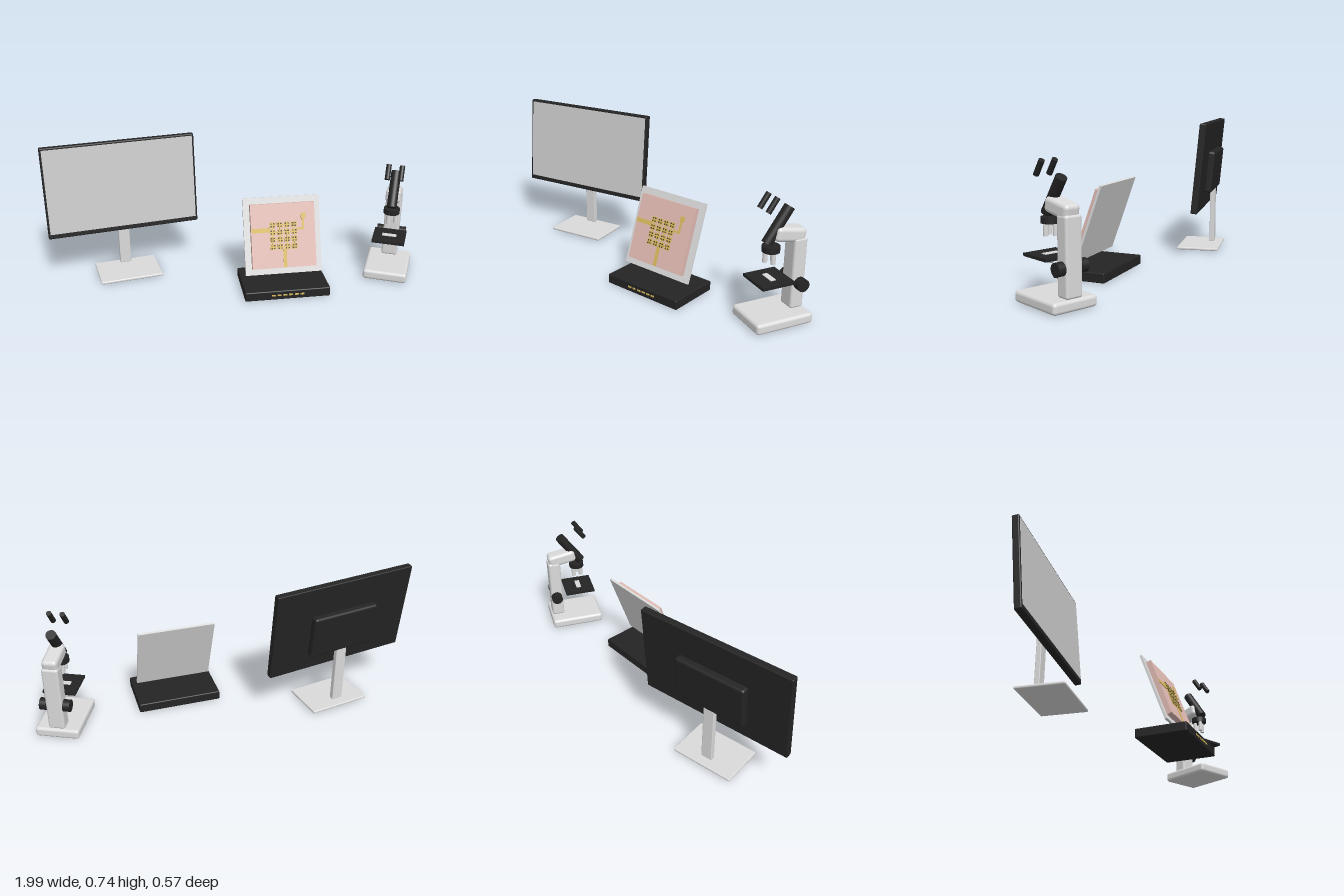
import * as THREE from 'three';
import { RoundedBoxGeometry } from 'three/addons/geometries/RoundedBoxGeometry.js';

const mat = (name, color, side = THREE.FrontSide) => {
  const m = new THREE.MeshStandardMaterial({ color, side });
  m.name = name;
  return m;
};

export function createModel() {
  const white = mat('light enamel', 0xdadada);
  const screenGrey = mat('screen grey', 0xcdcdcd);
  const black = mat('black plastic', 0x242424);
  const pink = mat('pink substrate', 0xdfb9b1);
  const gold = mat('gold', 0xd8b95c);
  const dot = mat('dark contact', 0x4a4028);

  const add = (parent, name, geo, material, x = 0, y = 0, z = 0, rx = 0) => {
    const m = new THREE.Mesh(geo, material);
    m.name = name;
    m.position.set(x, y, z);
    m.rotation.x = rx;
    parent.add(m);
    return m;
  };
  const group = (parent, name, x, y, z, ry = 0, rx = 0) => {
    const g = new THREE.Group();
    g.name = name;
    g.position.set(x, y, z);
    g.rotation.set(rx, ry, 0, 'YXZ');
    parent.add(g);
    return g;
  };
  const box = (w, h, d) => new THREE.BoxGeometry(w, h, d);
  const round = (w, h, d, r) => new RoundedBoxGeometry(w, h, d, 4, r);
  const cyl = (r, h, r2 = r) => new THREE.CylinderGeometry(r, r2, h, 32);

  const model = new THREE.Group();
  model.name = 'laboratory set';

  // Monitor: tilted panel with a rear housing, on a post and foot
  const yaw = 0.17;
  const monitor = group(model, 'monitor', -0.595, 0.495, -0.178, yaw, -0.095);
  add(monitor, 'monitorCase', round(0.804, 0.488, 0.036, 0.006), black);
  add(monitor, 'screen', box(0.784, 0.452, 0.004), screenGrey, 0, 0.007, 0.0175);
  add(monitor, 'rearHousing', round(0.38, 0.235, 0.045, 0.014), black, 0, -0.035, -0.033);
  const post = group(model, 'monitorPost', -0.6, 0, -0.204, yaw);
  add(post, 'post', round(0.06, 0.33, 0.027, 0.004), white, 0, 0.195, 0);
  const foot = group(model, 'monitorFoot', -0.585, 0, -0.14, yaw);
  add(foot, 'foot', round(0.335, 0.015, 0.235, 0.006), white, 0, 0.01, 0);

  // Sample display: dark plinth and a leaning plate
  add(model, 'plinth', round(0.445, 0.05, 0.28, 0.006), black, 0.222, 0.025, 0.143);
  for (let i = 0; i < 6; i++) {
    add(model, 'plinthInlay', box(0.02, 0.008, 0.004), gold, 0.147 + i * 0.03, 0.026, 0.284);
  }
  const panel = group(model, 'samplePanel', 0.222, 0.278, 0.098, 0, -0.345);
  add(panel, 'backPlate', box(0.405, 0.405, 0.012), white);
  add(panel, 'substrate', box(0.338, 0.336, 0.028), pink, 0, 0, 0.02);

  // Gold circuit on the substrate: leads, corner pad and a pad array
  const face = 0.0355;
  const trace = (name, w, h, x, y) => add(panel, name, box(w, h, 0.004), gold, x, y, face);
  trace('leftLead', 0.1, 0.022, -0.117, 0.032);
  trace('bottomLead', 0.018, 0.095, 0.004, -0.118);
  trace('rightLead', 0.04, 0.01, 0.09, 0.032);
  trace('riser', 0.01, 0.06, 0.105, 0.06);
  trace('cornerPad', 0.026, 0.026, 0.108, 0.1);
  for (let i = 0; i < 4; i++) {
    const p = -0.057 + i * 0.038;
    trace('arrayRow', 0.14, 0.004, 0, p);
    trace('arrayColumn', 0.004, 0.14, p, 0);
    for (let j = 0; j < 4; j++) {
      const q = -0.057 + j * 0.038;
      add(panel, 'arrayPad', box(0.028, 0.028, 0.006), gold, p, q, face);
      for (const s of [-1, 1]) for (const t of [-1, 1]) {
        add(panel, 'contact', box(0.007, 0.007, 0.003), dot, p + s * 0.007, q + t * 0.007, face + 0.003);
      }
    }
  }

  // Microscope: base, column and arm
  const scope = group(model, 'microscope', 0.83, 0, 0.048, -0.436);
  add(scope, 'scopeBase', round(0.23, 0.053, 0.3, 0.016), white, 0, 0.0285, 0);
  add(scope, 'column', round(0.085, 0.355, 0.07, 0.012), white, 0, 0.232, -0.106);
  add(scope, 'arm', round(0.08, 0.07, 0.16, 0.02), white, 0, 0.43, -0.056, -0.17);

  // Optics: tube, eyepieces, nosepiece and objectives
  const lean = -0.6;
  add(scope, 'tube', cyl(0.026, 0.198), black, 0, 0.478, 0, lean);
  for (const s of [-1, 1]) {
    add(scope, 'eyepiece', cyl(0.0135, 0.08), black, s * 0.034, 0.593, 0.058, lean);
    const knob = add(scope, 'focusKnob', cyl(0.031, 0.036), black, s * 0.06, 0.185, -0.11);
    knob.rotation.z = Math.PI / 2;
  }
  add(scope, 'nosepiece', cyl(0.042, 0.028), black, 0, 0.369, 0.03);
  for (let i = 0; i < 3; i++) {
    const a = (i * Math.PI * 2) / 3;
    add(scope, 'objective', cyl(0.0115, 0.056), white,
      0.024 * Math.cos(a), 0.328, 0.03 + 0.024 * Math.sin(a));
  }

  // Stage with slide, and the lamp below it
  add(scope, 'stage', box(0.17, 0.014, 0.17), black, 0, 0.215, 0.03);
  add(scope, 'slide', box(0.075, 0.004, 0.028), white, 0, 0.2235, 0.03);
  add(scope, 'lamp', new THREE.SphereGeometry(0.0135, 24, 16), white, 0, 0.191, 0.03);

  return model;
}
